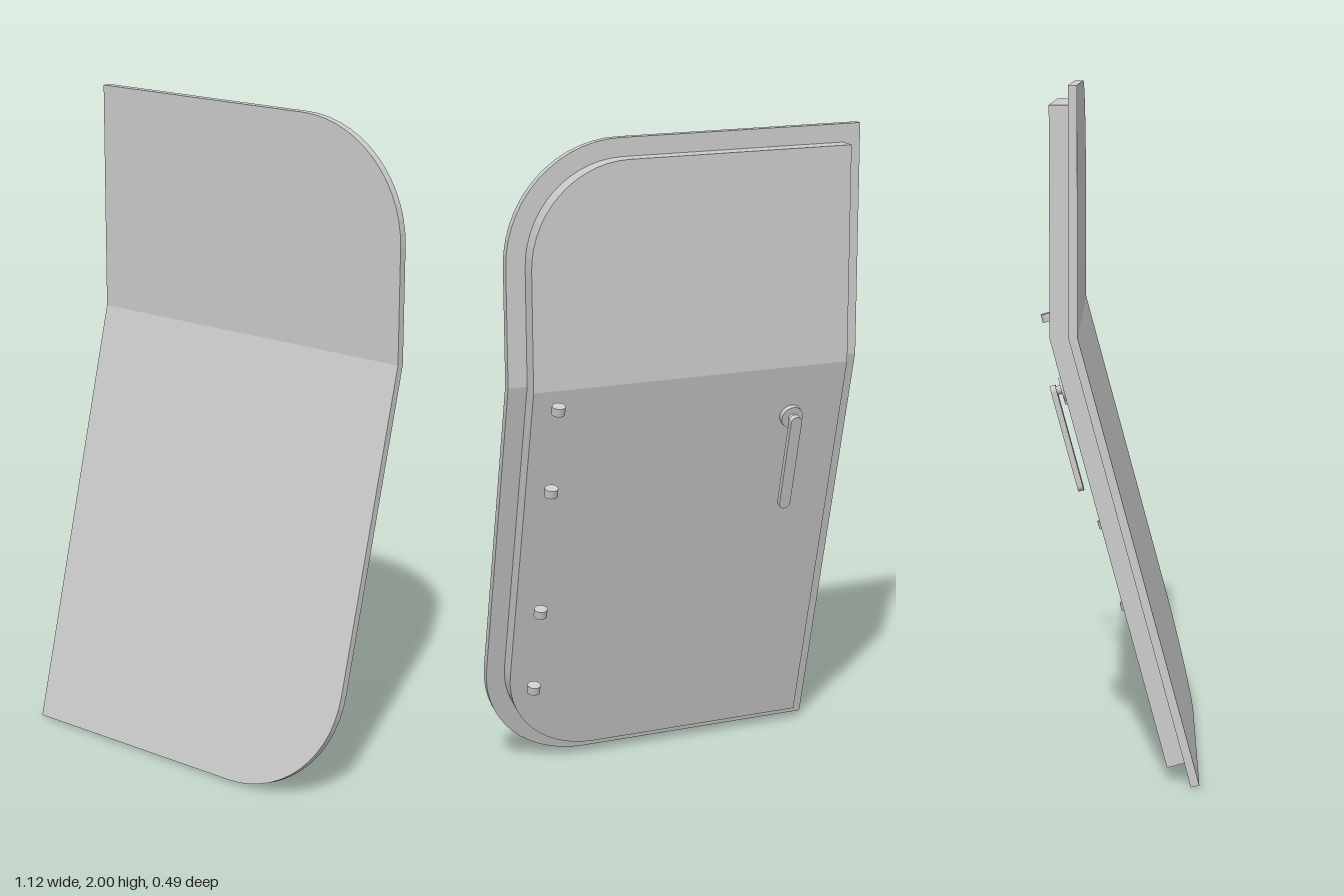
import * as THREE from 'three';

const TILT = Math.PI / 12;            // slope of the lower leaf
const BEND_Y = 1.3, FRONT_Z = -0.1;   // crease line on the front face
const grey = new THREE.MeshStandardMaterial({ color: 0xcccccc });
const greyFlat = new THREE.MeshStandardMaterial({ color: 0xcccccc, flatShading: true });

// Maps flat door coordinates (v along the sheet, t depth behind the front) to the bent door
function bend(x, v, t) {
  if (v === 0) return [x, BEND_Y - t * Math.tan(TILT / 2), FRONT_Z - t];
  if (v > 0) return [x, BEND_Y + v, FRONT_Z - t];
  const c = Math.cos(TILT), s = Math.sin(TILT);
  return [x, BEND_Y + v * c - t * s, FRONT_Z - v * s - t * c];
}

// Bent sheet with two rounded corners on the +x side
function bentPanel(name, { x0, x1, top, bottom, r, t0, t1 }) {
  const steps = 14, rows = [];
  const arc = (i) => {
    const a = (i / steps) * Math.PI / 2;
    return [r * (1 - Math.cos(a)), x1 - r + r * Math.sin(a)];
  };
  for (let i = 0; i <= steps; i++) { const [d, x] = arc(i); rows.push([bottom + d, x]); }
  rows.push([0, x1]);
  for (let i = steps; i >= 0; i--) { const [d, x] = arc(i); rows.push([top - d, x]); }

  const rings = rows.map(([v, x]) =>
    [bend(x0, v, t0), bend(x, v, t0), bend(x, v, t1), bend(x0, v, t1)]);
  const pos = [];
  const quad = (a, b, c, d) => pos.push(...a, ...b, ...c, ...a, ...c, ...d);
  for (let i = 0; i < rings.length - 1; i++) {
    const lo = rings[i], hi = rings[i + 1];
    for (let k = 0; k < 4; k++) {
      const n = (k + 1) % 4;
      quad(lo[k], lo[n], hi[n], hi[k]);
    }
  }
  quad(...rings[rings.length - 1]);
  quad(...[...rings[0]].reverse());

  const geo = new THREE.BufferGeometry();
  geo.setAttribute('position', new THREE.Float32BufferAttribute(pos, 3));
  geo.computeVertexNormals();
  const mesh = new THREE.Mesh(geo, greyFlat);
  mesh.name = name;
  return mesh;
}

function cylinder(name, r, h, x, y, z, alongZ) {
  const mesh = new THREE.Mesh(new THREE.CylinderGeometry(r, r, h, 24), grey);
  mesh.name = name;
  mesh.position.set(x, y, z);
  if (alongZ) mesh.rotation.x = Math.PI / 2;
  return mesh;
}

export function createModel() {
  const door = new THREE.Group();
  door.name = 'door';

  // Outer skin and the smaller inner panel behind it
  door.add(bentPanel('outerSkin',
    { x0: -0.558, x1: 0.558, top: 0.7, bottom: -1.339, r: 0.35, t0: 0, t1: 0.025 }));
  door.add(bentPanel('innerPanel',
    { x0: -0.503, x1: 0.5, top: 0.645, bottom: -1.281, r: 0.3, t0: 0.025, t1: 0.08 }));

  // Fittings sit in the frame of the sloping leaf: y along it, -z towards the back
  const fittings = new THREE.Group();
  fittings.name = 'fittings';
  fittings.position.set(0, BEND_Y, FRONT_Z);
  fittings.rotation.x = -TILT;
  door.add(fittings);

  // Hinge knuckles
  [0.022, 0.296, 0.72, 1.0].forEach((d, i) =>
    fittings.add(cylinder(`hingeKnuckle${i + 1}`, 0.02, 0.026, 0.44, -d, -0.131)));

  // Handle: rose, spindle and a round-ended lever
  const handle = new THREE.Group();
  handle.name = 'handle';
  handle.position.set(-0.336, -0.157, 0);
  handle.add(cylinder('handleRose', 0.035, 0.02, 0, 0, -0.086, true));
  handle.add(cylinder('handleSpindle', 0.013, 0.03, 0, 0, -0.102, true));
  const w = 0.018, len = 0.285;
  const shape = new THREE.Shape();
  shape.absarc(0, 0, w, 0, Math.PI, false);
  shape.absarc(0, -len, w, Math.PI, Math.PI * 2, false);
  shape.closePath();
  const lever = new THREE.Mesh(
    new THREE.ExtrudeGeometry(shape, { depth: 0.017, bevelEnabled: false, curveSegments: 12 }), grey);
  lever.name = 'handleLever';
  lever.position.z = -0.127;
  handle.add(lever);
  fittings.add(handle);

  return door;
}
